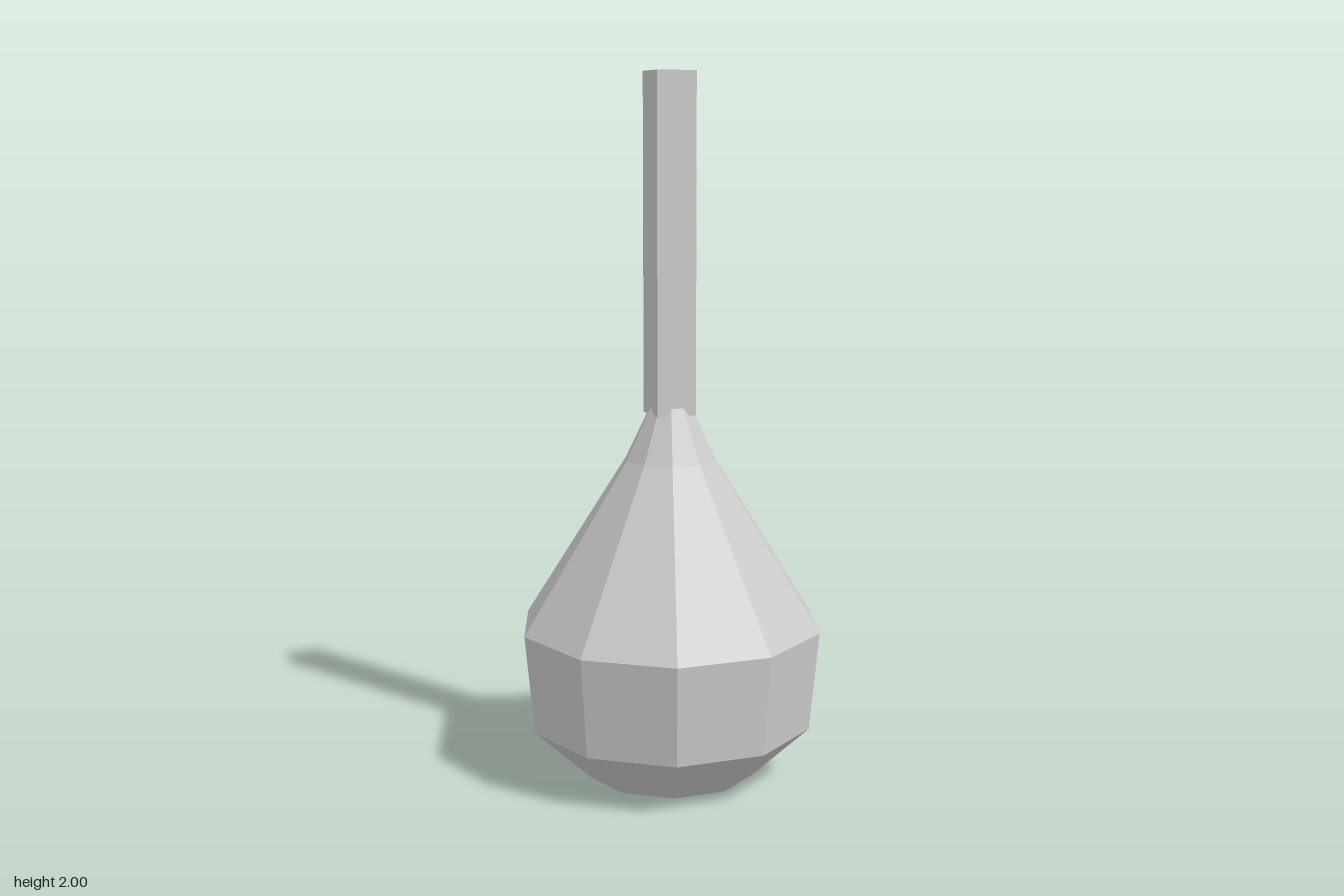
import * as THREE from 'three';

export function createModel() {
  const model = new THREE.Group();
  const grey = new THREE.MeshStandardMaterial({ color: 0xcccccc, flatShading: true });
  grey.name = 'light grey';

  // Ten-sided bulb: flat base, steep wall, tapering shoulder and neck
  const profile = [
    [0, 0], [0.245, 0], [0.41, 0.155], [0.437, 0.44], [0.132, 0.92], [0.04, 1.11], [0, 1.11],
  ].map(([r, y]) => new THREE.Vector2(r, y));
  const bulb = new THREE.Mesh(new THREE.LatheGeometry(profile, 10, Math.PI / 2), grey);
  bulb.name = 'bulb';
  model.add(bulb);

  // Square stem sunk into the neck
  const stem = new THREE.Mesh(new THREE.BoxGeometry(0.115, 0.95, 0.115), grey);
  stem.name = 'stem';
  stem.position.set(-0.002, 1.525, -0.002);
  model.add(stem);

  return model;
}
